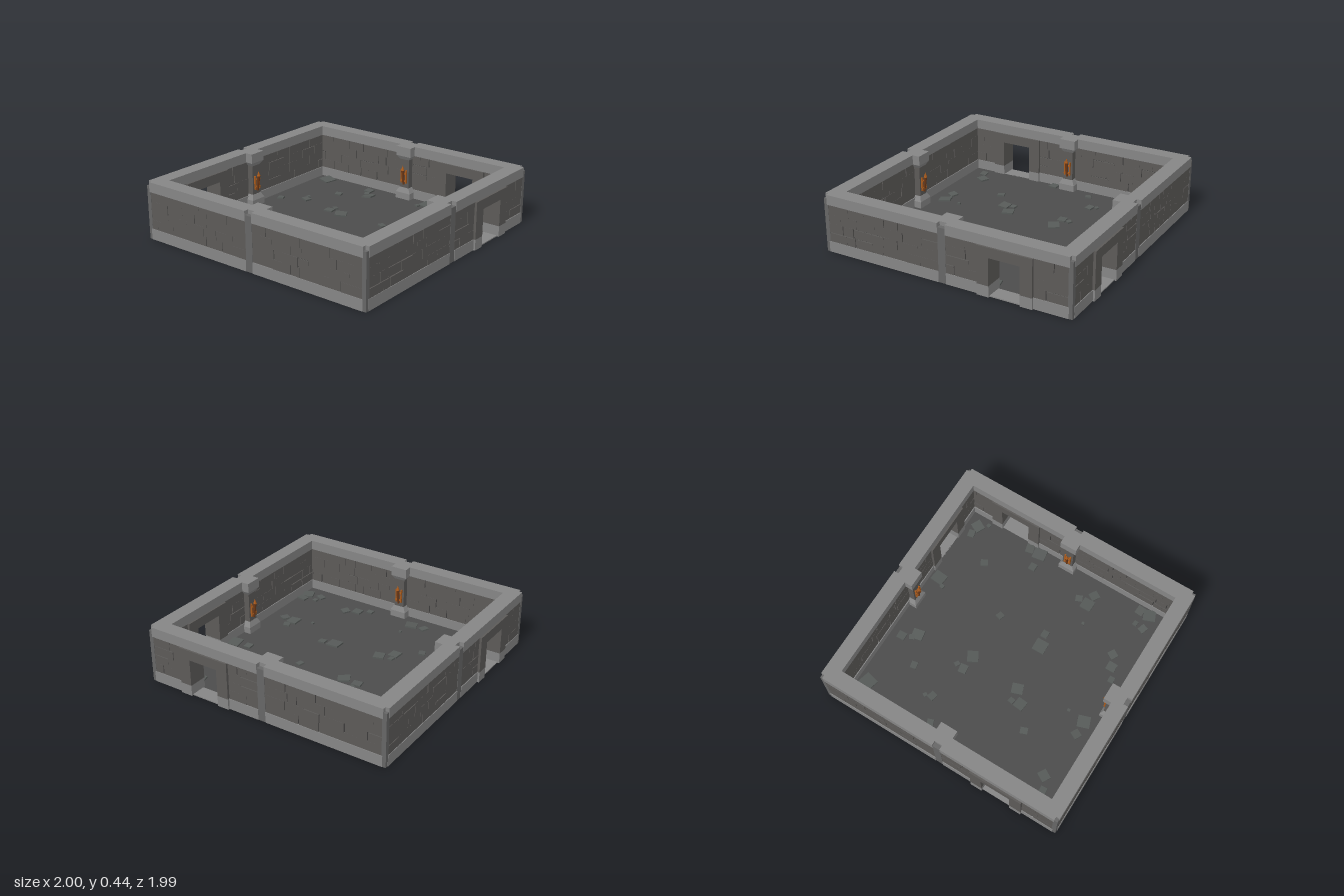
import * as THREE from 'three';
import { mergeGeometries } from 'three/addons/utils/BufferGeometryUtils.js';

const mat = (color) => new THREE.MeshStandardMaterial({ color, flatShading: true });
const trim = mat(0x858585), brick = mat(0x5c5a58), mortar = mat(0x343434), post = mat(0x666666);
const floorMat = mat(0x4c4c4c), rubble = mat(0x565a58), wood = mat(0x6e3a18), flame = mat(0xa85a1c);

const OUT = 0.986, IN = 0.87;            // outer and inner wall faces
const BASE = 0.083, MID = 0.365, TOP = 0.44;

let seed = 7;
const rnd = () => (seed = (seed * 16807) % 2147483647) / 2147483647;

// box geometry from its limits on each axis
function box(x0, x1, y0, y1, z0, z1) {
  return new THREE.BoxGeometry(x1 - x0, y1 - y0, z1 - z0)
    .translate((x0 + x1) / 2, (y0 + y1) / 2, (z0 + z1) / 2);
}

function add(parent, name, geo, material) {
  const m = new THREE.Mesh(Array.isArray(geo) ? mergeGeometries(geo) : geo, material);
  m.name = name;
  parent.add(m);
}

// four-sided block whose top is scaled in x and moved in z, for pillar feet and capitals
function taper(x0, x1, y0, y1, z0, z1, kx, zTop) {
  const g = box(x0, x1, y0, y1, z0, z1), p = g.attributes.position;
  for (let i = 0; i < p.count; i++) {
    if (p.getY(i) < (y0 + y1) / 2) continue;
    p.setX(i, p.getX(i) * kx);
    if (p.getZ(i) < (z0 + z1) / 2) p.setZ(i, zTop);
  }
  g.computeVertexNormals();
  return g;
}

// coping ring: notched outside, stepped in over the pillars
function coping() {
  const outer = [], inner = [];
  const side = [[-0.958, 0.958], [-0.958, OUT], [-0.03, OUT], [-0.03, 0.95], [0.03, 0.95], [0.03, OUT], [0.958, OUT]];
  const inSide = [[-IN, IN], [-0.066, IN], [-0.066, 0.81], [0.066, 0.81], [0.066, IN]];
  for (let k = 0; k < 4; k++) {
    const c = Math.round(Math.cos(k * Math.PI / 2)), s = Math.round(Math.sin(k * Math.PI / 2));
    const turn = ([x, y]) => new THREE.Vector2(x * c + y * s, -x * s + y * c);
    outer.push(...side.map(turn));
    inner.push(...inSide.map(turn));
  }
  // outline runs anticlockwise, hole clockwise
  const shape = new THREE.Shape(outer.reverse());
  shape.holes.push(new THREE.Path(inner));
  return new THREE.ExtrudeGeometry(shape, { depth: TOP - MID, bevelEnabled: false })
    .rotateX(-Math.PI / 2).translate(0, MID, 0);
}

// four rows of uneven bricks filling the span x0..x1
function brickRows(x0, x1) {
  const out = [], rows = 4, h = (MID - BASE) / rows;
  for (let r = 0; r < rows; r++) {
    let x = x0;
    while (x < x1 - 0.001) {
      let e = x + 0.07 + rnd() * 0.12;
      if (x1 - e < 0.06) e = x1;
      const gap = rnd() < 0.3 ? 0.007 : 0.001, lip = rnd() * 0.003;
      const drop = rnd() < 0.15 ? 0.005 : 0;
      out.push(box(x, e - (e === x1 ? 0 : gap), BASE + r * h, BASE + (r + 1) * h - drop,
        0.875 + lip, 0.983 - lip));
      x = e;
    }
  }
  return out;
}

// door: 0 for none, otherwise the sign of the half that holds it
function makeWall(name, door) {
  const g = new THREE.Group();
  g.name = name;
  let spans = [[-0.958, -0.03], [0.03, 0.958]];
  if (door) {
    spans = [[-0.958, -0.03], [0.03, 0.285], [0.695, 0.958]];
    if (door < 0) spans = spans.map(([a, b]) => [-b, -a]);
  }
  add(g, 'plinth', spans.map(([a, b]) => box(a, b, 0, BASE, IN, OUT)), trim);
  add(g, 'bricks', spans.flatMap(([a, b]) => brickRows(a, b)), brick);
  add(g, 'mortar', spans.map(([a, b]) => box(a + 0.004, b - 0.004, BASE, MID, 0.885, 0.973)), mortar);

  // strip between the two wall halves, and the corner post
  add(g, 'jointPost', box(-0.03, 0.03, 0, 0.41, IN + 0.002, 0.983), post);
  add(g, 'cornerPost', box(0.95, 0.983, 0, 0.41, 0.95, 0.983), post);

  // doorway with jambs and lintel
  if (door) {
    const d = new THREE.Group();
    d.name = 'doorway';
    d.position.x = door * 0.49;
    const feet = [], jambs = [];
    for (const s of [-1, 1]) {
      const a = s < 0 ? -0.21 : 0.118, b = a + 0.092;
      feet.push(box(a, b, 0, BASE, 0.858, 1));
      jambs.push(box(a, b, BASE, 0.29, 0.858, 1));
    }
    add(d, 'jambFeet', feet, trim);
    add(d, 'jambs', jambs, brick);
    add(d, 'lintel', box(-0.21, 0.21, 0.29, MID, 0.858, 1), brick);
    add(d, 'threshold', box(-0.118, 0.118, 0, 0.008, IN, OUT), trim);
    g.add(d);
  }

  // inner pillar
  const p = new THREE.Group();
  p.name = 'pillar';
  add(p, 'pillarFoot', [
    box(-0.066, 0.066, 0, 0.06, 0.81, 0.88),
    taper(-0.066, 0.066, 0.06, 0.1, 0.81, 0.88, 0.66, 0.828),
  ], trim);
  add(p, 'pillarShaft', box(-0.042, 0.042, 0.1, 0.335, 0.829, 0.88), brick);
  add(p, 'pillarCapital', taper(-0.043, 0.043, 0.335, MID, 0.828, 0.88, 1.5, 0.811), trim);
  g.add(p);

  // wall torch: leaning stick held by a barred bracket
  const t = new THREE.Group();
  t.name = 'torch';
  t.position.set(0, 0.19, 0.812);
  add(t, 'torchStick', new THREE.CylinderGeometry(0.013, 0.008, 0.12, 8).rotateX(-0.12), wood);
  add(t, 'torchFlame', new THREE.ConeGeometry(0.014, 0.04, 8).translate(0, 0.08, -0.008), flame);
  add(t, 'torchBracket', [
    ...[-0.022, 0.022].map((x) => box(x - 0.005, x + 0.005, -0.05, 0.06, 0.004, 0.018)),
    ...[-0.03, 0.03].map((y) => box(-0.027, 0.027, y - 0.005, y + 0.005, 0, 0.018)),
  ], flame);
  g.add(t);
  return g;
}

// loose floor slabs: x, z, size
const SLABS = [
  -.75, -.79, .1, -.31, -.78, .06, -.24, -.68, .08, -.28, -.71, .04, -.46, -.57, .055, -.59, -.32, .06,
  -.61, -.37, .03, -.77, -.22, .05, -.29, -.24, .07, -.28, -.3, .04, -.17, -.23, .09, .24, -.8, .09,
  .19, -.74, .03, .22, -.23, .05, .53, -.57, .055, .69, -.79, .06, .77, -.78, .08, .82, -.71, .03,
  .70, -.23, .06, .82, -.24, .09, .82, -.33, .07, -.83, .12, .06, -.3, .27, .08, -.21, .19, .08,
  -.31, .2, .04, -.46, .4, .05, .17, .16, .1, .27, .14, .06, .65, .29, .09, .74, .3, .07,
  .66, .21, .05, .5, .34, .02, -.67, .7, .07, -.77, .75, .06, -.28, .74, .06, -.17, .74, .09,
  -.15, .6, .02, .22, .75, .05, .31, .7, .07, .4, .66, .06, .70, .75, .06, .71, .68, .04,
  .82, .74, .09, .82, .66, .07,
];

function slabs() {
  const out = [];
  for (let i = 0; i < SLABS.length; i += 3) {
    const s = SLABS[i + 2];
    out.push(new THREE.BoxGeometry(s, 0.012, s * (0.85 + rnd() * 0.3))
      .rotateX((rnd() - 0.5) * 0.2).rotateZ((rnd() - 0.5) * 0.2).rotateY((rnd() - 0.5) * 1.1)
      .translate(SLABS[i], 0.016, SLABS[i + 1]));
  }
  return out;
}

export function createModel() {
  const room = new THREE.Group();
  room.name = 'stoneRoom';
  const sides = [['frontWall', 0], ['leftWall', 1], ['backWall', -1], ['rightWall', 1]];
  sides.forEach(([name, door], k) => {
    const w = makeWall(name, door);
    w.rotation.y = k * Math.PI / 2;
    room.add(w);
  });
  add(room, 'coping', coping(), trim);
  add(room, 'floor', box(-0.875, 0.875, 0, 0.008, -0.875, 0.875), floorMat);
  add(room, 'looseSlabs', slabs(), rubble);
  room.position.z = 0.005;
  return room;
}
